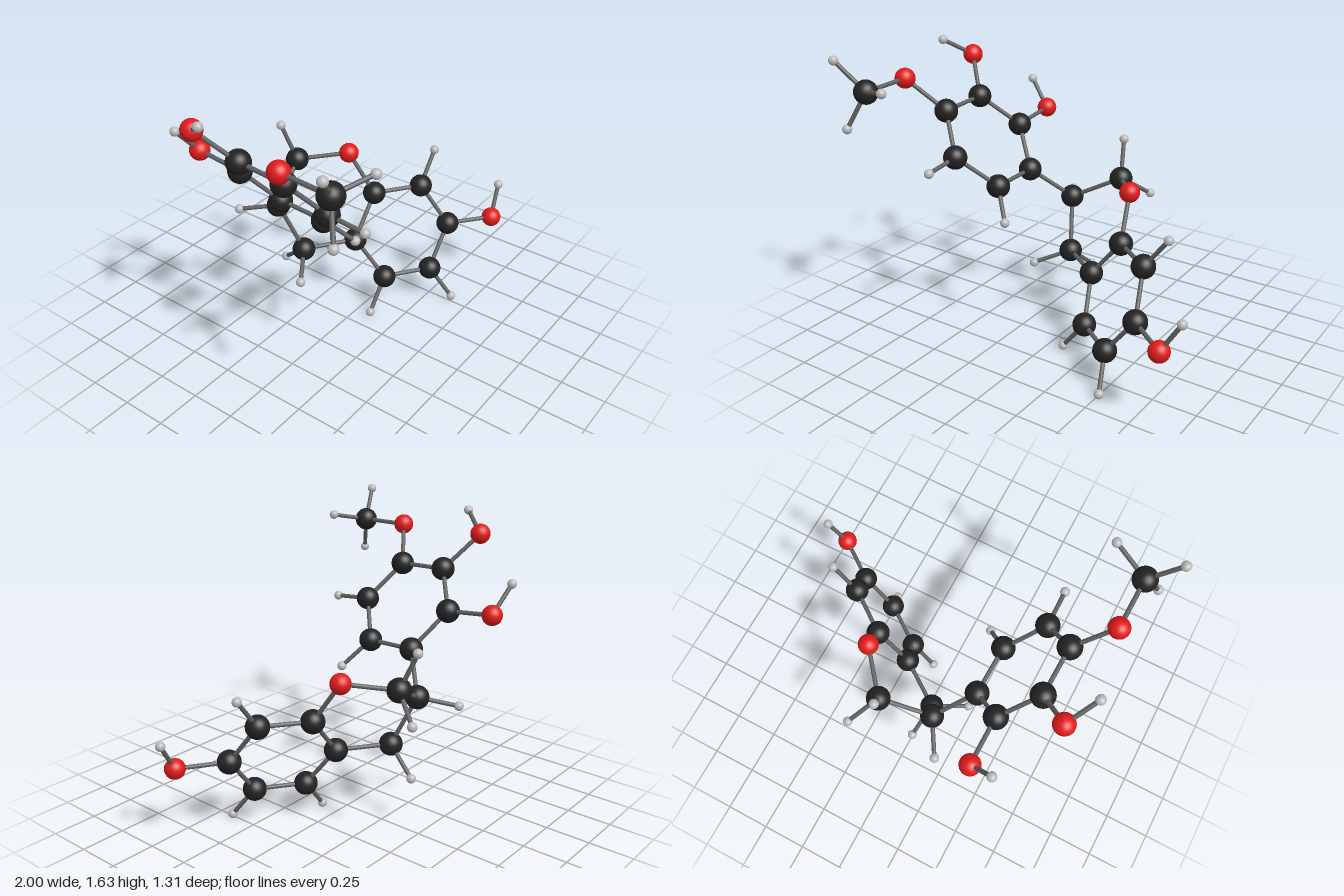
import * as THREE from 'three';

// Elements: sphere radius and colour
const ELEMENTS = {
  carbon: { radius: 0.065, color: 0x222222 },
  oxygen: { radius: 0.056, color: 0xe01a1a },
  hydrogen: { radius: 0.026, color: 0xbbbbbb },
};
const BOND_RADIUS = 0.012;

// Each atom: key: [element, position, key of the atom it is bonded to]
const upperRing = {
  u1: ['carbon', [-0.32, 0.905, -0.193], 'p3'],
  u2: ['carbon', [-0.48, 1.11, -0.318], 'u1'],
  u3: ['carbon', [-0.645, 1.29, -0.165], 'u2'],
  u4: ['carbon', [-0.653, 1.275, 0.122], 'u3'],
  u5: ['carbon', [-0.494, 1.075, 0.252], 'u4'],
  u6: ['carbon', [-0.328, 0.895, 0.097], 'u5'],
  h5: ['hydrogen', [-0.49, 1.053, 0.473], 'u5'],
  h6: ['hydrogen', [-0.205, 0.746, 0.208], 'u6'],
};
const upperHydroxyls = {
  o2: ['oxygen', [-0.48, 1.14, -0.597], 'u2'],
  ho2: ['hydrogen', [-0.607, 1.291, -0.632], 'o2'],
  o3: ['oxygen', [-0.797, 1.482, -0.304], 'u3'],
  ho3: ['hydrogen', [-0.894, 1.583, -0.157], 'o3'],
};
const methoxy = {
  o4: ['oxygen', [-0.825, 1.46, 0.247], 'u4'],
  m: ['carbon', [-0.832, 1.452, 0.538], 'o4'],
  hm1: ['hydrogen', [-0.975, 1.613, 0.608], 'm'],
  hm2: ['hydrogen', [-0.634, 1.497, 0.629], 'm'],
  hm3: ['hydrogen', [-0.914, 1.256, 0.613], 'm'],
};
const middleRing = {
  p3: ['carbon', [-0.145, 0.72, -0.366], 'p4'],
  p2: ['carbon', [0.129, 0.863, -0.449], 'p3'],
  p1: ['oxygen', [0.315, 0.896, -0.221], 'p2'],
  p4: ['carbon', [-0.077, 0.437, -0.247], 'l1'],
  hp3: ['hydrogen', [-0.26, 0.682, -0.556], 'p3'],
  hp2a: ['hydrogen', [0.094, 1.067, -0.533], 'p2'],
  hp2b: ['hydrogen', [0.234, 0.743, -0.609], 'p2'],
  hp4a: ['hydrogen', [-0.254, 0.358, -0.13], 'p4'],
  hp4b: ['hydrogen', [-0.038, 0.295, -0.416], 'p4'],
};
const lowerRing = {
  l1: ['carbon', [0.175, 0.437, -0.069], 'l6'],
  l2: ['carbon', [0.237, 0.21, 0.097], 'l1'],
  l3: ['carbon', [0.467, 0.21, 0.263], 'l2'],
  l4: ['carbon', [0.642, 0.436, 0.265], 'l3'],
  l5: ['carbon', [0.588, 0.663, 0.101], 'l4'],
  l6: ['carbon', [0.357, 0.663, -0.069], 'l5'],
  hl2: ['hydrogen', [0.1, 0.033, 0.097], 'l2'],
  hl3: ['hydrogen', [0.515, 0.033, 0.393], 'l3'],
  hl5: ['hydrogen', [0.724, 0.842, 0.1], 'l5'],
  ol4: ['oxygen', [0.867, 0.429, 0.433], 'l4'],
  hol4: ['hydrogen', [0.969, 0.598, 0.41], 'ol4'],
};
const PARTS = { upperRing, upperHydroxyls, methoxy, middleRing, lowerRing };

// Extra bonds that close the upper and middle rings
const CLOSURES = [['upperRing', 'u6', 'u1'], ['middleRing', 'p1', 'l6']];

export function createModel() {
  const model = new THREE.Group();
  model.name = 'ballAndStickMolecule';

  const kits = {};
  for (const [element, { radius, color }] of Object.entries(ELEMENTS)) {
    kits[element] = {
      geometry: new THREE.SphereGeometry(radius, 32, 20),
      material: new THREE.MeshStandardMaterial({ color }),
    };
  }
  const stick = new THREE.CylinderGeometry(BOND_RADIUS, BOND_RADIUS, 1, 16);
  const stickMaterial = new THREE.MeshStandardMaterial({ color: 0x606060 });

  const atoms = Object.assign({}, ...Object.values(PARTS));
  const at = (key) => new THREE.Vector3(...atoms[key][1]);

  // Stick running between the centres of two atoms
  function addBond(group, from, to) {
    const a = at(from);
    const span = at(to).sub(a);
    const bond = new THREE.Mesh(stick, stickMaterial);
    bond.name = 'bond';
    bond.scale.y = span.length();
    bond.position.copy(a).addScaledVector(span, 0.5);
    bond.quaternion.setFromUnitVectors(new THREE.Vector3(0, 1, 0), span.normalize());
    group.add(bond);
  }

  // Balls and their sticks, one group per part of the molecule
  for (const [name, part] of Object.entries(PARTS)) {
    const group = new THREE.Group();
    group.name = name;
    for (const [key, [element, , partner]] of Object.entries(part)) {
      const ball = new THREE.Mesh(kits[element].geometry, kits[element].material);
      ball.name = element + 'Atom';
      ball.position.copy(at(key));
      group.add(ball);
      addBond(group, key, partner);
    }
    for (const [owner, from, to] of CLOSURES) {
      if (owner === name) addBond(group, from, to);
    }
    model.add(group);
  }
  return model;
}
